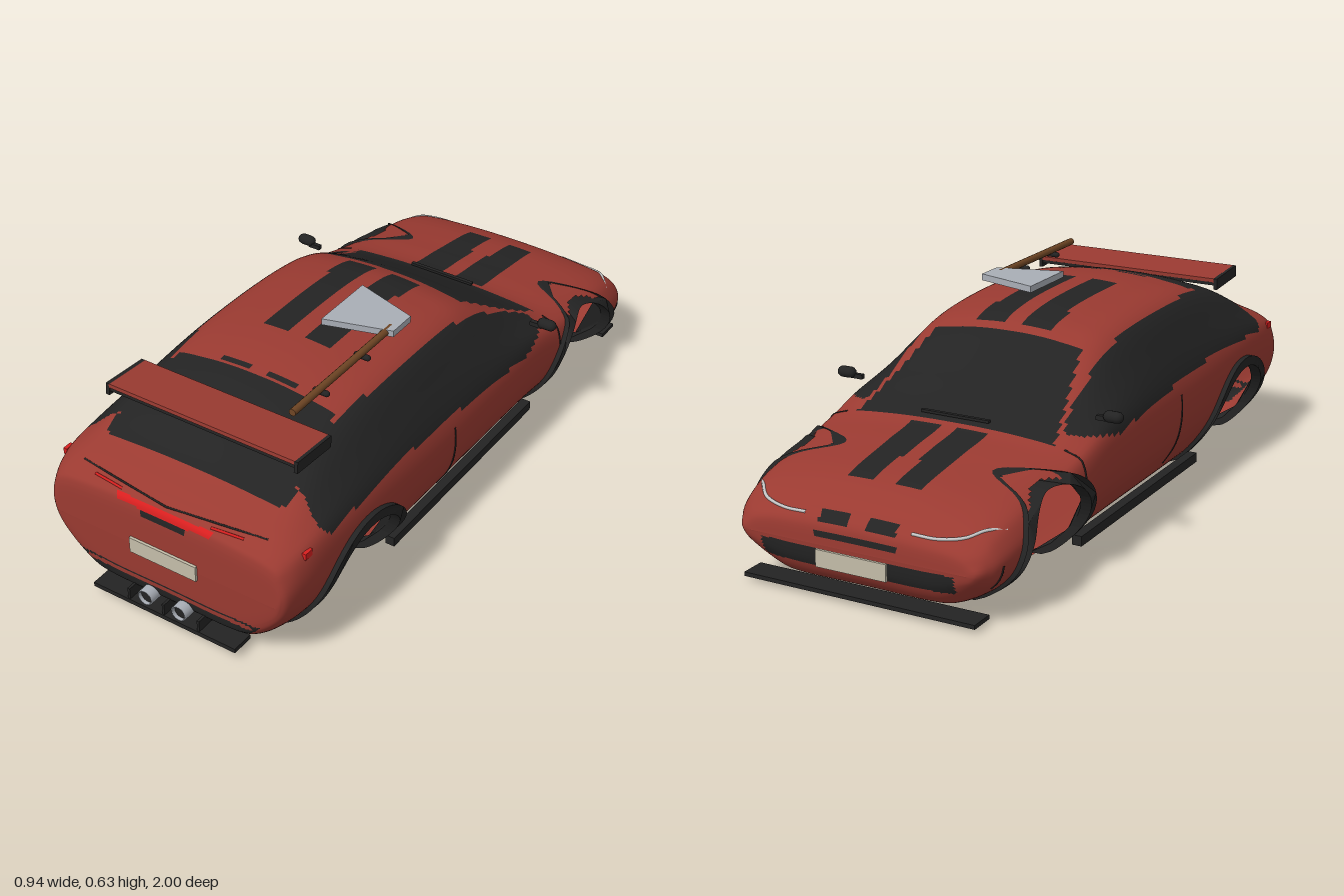
import * as THREE from 'three';

const mat = (name, color, side = THREE.FrontSide) => {
  const m = new THREE.MeshStandardMaterial({ color, side });
  m.name = name;
  return m;
};

export function createModel() {
  const car = new THREE.Group();
  car.name = 'car';
  const paint = mat('red paint', 0x9a3a31, THREE.DoubleSide);
  const black = mat('black trim', 0x232323, THREE.DoubleSide);
  const lamp = mat('tail lamp red', 0xd81f1f, THREE.DoubleSide);
  const silver = mat('silver metal', 0xa9aeb6);
  const white = mat('headlamp white', 0xc8c8c8);
  const cream = mat('plate cream', 0xc4bda9);
  const wood = mat('brown wood', 0x6e4524);

  const add = (name, geo, material, x = 0, y = 0, z = 0) => {
    const m = new THREE.Mesh(geo, material);
    m.name = name;
    m.position.set(x, y, z);
    car.add(m);
    return m;
  };
  const box = (name, w, h, d, material, x, y, z) => add(name, new THREE.BoxGeometry(w, h, d), material, x, y, z);
  const wire = (name, pts, r, material) => add(name, new THREE.TubeGeometry(
    new THREE.CatmullRomCurve3(pts.map((p) => new THREE.Vector3(...p))), 24, r, 6), material);

  // Body stations, nose to tail: z, bottom, top, half width, shoulder y, shoulder x, roof edge x, roof edge y
  const stations = [
    [-0.978, 0.155, 0.155, 0.34, 0.155, 0.33, 0.28, 0.155],
    [-0.972, 0.1, 0.21, 0.365, 0.18, 0.345, 0.29, 0.2],
    [-0.945, 0.055, 0.243, 0.385, 0.2, 0.37, 0.31, 0.225],
    [-0.9, 0.03, 0.275, 0.405, 0.225, 0.385, 0.33, 0.255],
    [-0.8, 0.012, 0.31, 0.418, 0.255, 0.395, 0.34, 0.285],
    [-0.62, 0.006, 0.338, 0.423, 0.285, 0.4, 0.34, 0.315],
    [-0.47, 0.005, 0.363, 0.423, 0.32, 0.405, 0.33, 0.345],
    [-0.32, 0.005, 0.447, 0.423, 0.355, 0.408, 0.3, 0.42],
    [-0.14, 0.005, 0.556, 0.423, 0.365, 0.41, 0.275, 0.52],
    [0, 0.005, 0.59, 0.423, 0.368, 0.41, 0.28, 0.548],
    [0.22, 0.005, 0.599, 0.423, 0.37, 0.41, 0.285, 0.557],
    [0.45, 0.005, 0.59, 0.423, 0.38, 0.41, 0.285, 0.55],
    [0.66, 0.006, 0.545, 0.423, 0.385, 0.41, 0.29, 0.512],
    [0.82, 0.012, 0.455, 0.42, 0.38, 0.405, 0.315, 0.437],
    [0.9, 0.03, 0.415, 0.412, 0.365, 0.395, 0.33, 0.4],
    [0.948, 0.06, 0.388, 0.4, 0.335, 0.385, 0.34, 0.368],
    [0.966, 0.1, 0.352, 0.385, 0.31, 0.37, 0.33, 0.335],
    [0.97, 0.23, 0.23, 0.37, 0.23, 0.36, 0.32, 0.23],
  ];
  const spline = (a, b, c, d, t) =>
    0.5 * (2 * b + (c - a) * t + (2 * a - 5 * b + 4 * c - d) * t * t + (3 * b - a - 3 * c + d) * t * t * t);
  const HALF = 84;
  const section = ([z, b, top, w, sh, sx, gx, gy]) => {
    const h = sh - b, k = w / 0.423;
    const pts = [[0, b], [0.22 * k, b], [0.275 * k, b + 0.04 * h], [0.355 * k, b + 0.25 * h], [0.408 * k, b + 0.5 * h],
      [w, b + 0.78 * h], [sx, sh], [(sx + gx) / 2 + 0.012, (sh + gy) / 2], [gx, gy],
      [gx * 0.6, top - (top - gy) * 0.3], [gx * 0.25, top - (top - gy) * 0.04], [0, top]];
    return new THREE.CatmullRomCurve3(pts.map(([x, y]) => new THREE.Vector3(x, y, z))).getSpacedPoints(HALF);
  };
  const rows = [];
  for (let i = 0; i < stations.length - 1; i++) {
    const [a, b, c, d] = [i - 1, i, i + 1, i + 2].map((n) => stations[THREE.MathUtils.clamp(n, 0, stations.length - 1)]);
    const n = Math.ceil((c[0] - b[0] + Math.abs(c[2] - b[2]) + Math.abs(c[1] - b[1])) / 0.011);
    for (let s = 0; s < n; s++) rows.push(section(b.map((_, k) => spline(a[k], b[k], c[k], d[k], s / n))));
  }
  rows.push(section(stations[stations.length - 1]));

  // Surface lookups: flank x at (z, y) and upper y at (x, z)
  const lookup = (z, pick) => {
    let i = rows.findIndex((r) => r[0].z >= z);
    i = i < 0 ? rows.length - 1 : Math.max(i, 1);
    const z0 = rows[i - 1][0].z, z1 = rows[i][0].z;
    const t = THREE.MathUtils.clamp((z - z0) / (z1 - z0 || 1), 0, 1);
    return pick(rows[i - 1]) * (1 - t) + pick(rows[i]) * t;
  };
  const sideX = (z, y) => lookup(z, (r) => {
    const j = Math.max(r.findIndex((p) => p.y >= y && p.x > 0.2), 1);
    const t = THREE.MathUtils.clamp((y - r[j - 1].y) / (r[j].y - r[j - 1].y || 1), 0, 1);
    return r[j - 1].x + (r[j].x - r[j - 1].x) * t;
  });
  const topY = (x, z) => lookup(z, (r) => {
    let j = HALF;
    while (j > 1 && r[j].x < Math.abs(x)) j--;
    return r[j].y;
  });

  // Colour and opening rules for the body faces
  const wheelZ = [-0.625, 0.615], wheelY = 0.11;
  const sideGlass = [[0.8, 0.4], [0.75, 0.49], [0.66, 0.532], [0.46, 0.552], [0.03, 0.548], [-0.14, 0.51],
    [-0.32, 0.42], [-0.42, 0.365], [-0.26, 0.335], [0.03, 0.36], [0.46, 0.388], [0.78, 0.372]];
  const inside = (poly, u, v) => poly.reduce((hit, [u1, v1], i) => {
    const [u2, v2] = poly[(i + 1) % poly.length];
    return (v1 > v) !== (v2 > v) && u < u1 + (u2 - u1) * (v - v1) / (v2 - v1) ? !hit : hit;
  }, false);
  const between = (v, a, b) => v > a && v < b;
  const faceKind = (x, y, z) => {
    if (x > 0.25 && wheelZ.some((c) => (y > wheelY ? Math.hypot(z - c, y - wheelY) : Math.abs(z - c)) < 0.197)) return -1;
    if (x > 0.2 && inside(sideGlass, z, y)) return 1;
    if (y > 0.3 && between(z, -0.47, -0.15) && x < 0.32 - (z + 0.47) * 0.25) return 1;
    if (y > 0.44 && between(z, 0.53, 0.83) && x < 0.26 + (z - 0.53) * 0.17) return 1;
    const stripe = between(x, 0.03, 0.12);
    if (stripe && y > 0.25 && (between(z, -0.83, -0.49) || between(z, -0.12, 0.34) || between(z, 0.505, 0.525))) return 1;
    if (stripe && y > 0.215 && between(z, -0.968, -0.94)) return 1;
    if (z < -0.9 && ((x < 0.3 && between(y, 0.09, 0.145)) || (x < 0.13 && between(y, 0.178, 0.196)))) return 1;
    if (z > 0.88) {
      if (x < 0.16 && between(y, 0.362, 0.382)) return 2;
      if (x < 0.075 && between(y, 0.338, 0.362)) return 1;
      if (between(y, 0.055, 0.125) && x < 0.31 - (0.125 - y) * 0.9 && !(between(y, 0.103, 0.118) && x < 0.28)) return 1;
    }
    return 0;
  };

  // Body shell
  const ring = HALF * 2, pos = [], faces = [[], [], []];
  for (const r of rows) {
    for (let j = 0; j < ring; j++) {
      const p = j <= HALF ? r[j] : r[ring - j];
      pos.push(j <= HALF ? p.x : -p.x, p.y, p.z);
    }
  }
  for (let i = 0; i < rows.length - 1; i++) {
    for (let j = 0; j < ring; j++) {
      const k = (j + 1) % ring;
      const a = i * ring + j, b = i * ring + k, c = b + ring, d = a + ring;
      const mid = (n) => (pos[a * 3 + n] + pos[b * 3 + n] + pos[c * 3 + n] + pos[d * 3 + n]) / 4;
      const kind = faceKind(Math.abs(mid(0)), mid(1), mid(2));
      if (kind >= 0) faces[kind].push(a, b, c, a, c, d);
    }
  }
  const shell = new THREE.BufferGeometry();
  shell.setAttribute('position', new THREE.Float32BufferAttribute(pos, 3));
  shell.setIndex(faces.flat());
  let start = 0;
  faces.forEach((f, i) => { shell.addGroup(start, f.length, i); start += f.length; });
  shell.computeVertexNormals();
  add('body', shell, [paint, black, lamp]);

  // Wheel arch rims that follow the flanks
  const archPath = (r, foot) => {
    const pts = [];
    for (let i = 0; i < 8; i++) pts.push([foot + (r - foot) * i / 8, -0.1 + 0.1 * i / 8]);
    for (let i = 0; i <= 40; i++) pts.push([r * Math.cos(Math.PI * i / 40), r * Math.sin(Math.PI * i / 40)]);
    for (let i = 7; i >= 0; i--) pts.push([-pts[i][0], pts[i][1]]);
    return pts.map((p) => new THREE.Vector2(...p));
  };
  for (const c of wheelZ) for (const s of [1, -1]) {
    const shape = new THREE.Shape([...archPath(0.215, 0.205), ...archPath(0.185, 0.176).reverse()]);
    const g = new THREE.ExtrudeGeometry(shape, { depth: 0.034, bevelEnabled: false });
    g.rotateY(Math.PI / 2).translate(-0.018, wheelY, c);
    const p = g.attributes.position;
    for (let i = 0; i < p.count; i++) p.setX(i, s * (p.getX(i) + sideX(p.getZ(i), p.getY(i))));
    g.computeVertexNormals();
    add('wheelArchRim', g, black);
  }

  // Parts on both sides: sills, mirrors, seams, lamps
  for (const s of [1, -1]) {
    box('sill', 0.03, 0.03, 0.79, black, s * 0.355, 0.048, 0);
    const mirror = add('mirror', new THREE.CapsuleGeometry(0.017, 0.026, 4, 12), black, s * 0.438, 0.411, -0.342);
    mirror.rotation.z = Math.PI / 2;
    box('mirrorArm', 0.04, 0.014, 0.014, black, s * 0.405, 0.402, -0.338);
    const seam = (z, y0, y1) => wire('doorSeam', [0, 1, 2, 3, 4].map((i) => {
      const y = y0 + (y1 - y0) * i / 4;
      return [s * sideX(z, y), y, z];
    }), 0.003, black);
    seam(0.155, 0.105, 0.33);
    seam(-0.47, 0.26, 0.34);
    seam(-0.9, 0.1, 0.17);
    wire('headlampLine', [[0.165, -0.955], [0.24, -0.95], [0.31, -0.93], [0.35, -0.89], [0.385, -0.845]]
      .map(([x, z]) => [s * x, topY(x, z) + 0.001, z]), 0.005, white);
    box('sideTailLamp', 0.012, 0.02, 0.03, lamp, s * sideX(0.87, 0.365), 0.365, 0.87);
    wire('tailLampTip', [[0.15, 0.945], [0.2, 0.94], [0.25, 0.935]].map(([x, z]) => [s * x, topY(x, z), z]), 0.004, lamp);
    wire('tailgateLine', [[0, 0.945], [0.16, 0.93], [0.31, 0.91]].map(([x, z]) => [s * x, topY(x, z), z]), 0.003, black);
    // Twin exhausts
    const pipe = new THREE.LatheGeometry([[0.019, 0], [0.025, 0], [0.025, 0.07], [0.02, 0.07], [0.019, 0.01]]
      .map((p) => new THREE.Vector2(...p)), 24).rotateX(Math.PI / 2);
    add('exhaust', pipe, silver, s * 0.058, 0.075, 0.925);
    add('exhaustBore', new THREE.CircleGeometry(0.02, 24), black, s * 0.058, 0.075, 0.985);
  }

  // Rear wing
  const wing = new THREE.Group();
  wing.name = 'rearWing';
  const wingPart = (w, h, d, m, x, y) => {
    const part = new THREE.Mesh(new THREE.BoxGeometry(w, h, d), m);
    part.name = 'wingPart';
    part.position.set(x, y, 0);
    wing.add(part);
  };
  wingPart(0.62, 0.012, 0.155, paint, 0, 0.008);
  wingPart(0.62, 0.01, 0.15, black, 0, -0.004);
  for (const s of [1, -1]) wingPart(0.012, 0.036, 0.155, black, s * 0.314, -0.004);
  wing.position.set(0, 0.555, 0.71);
  wing.rotation.x = -0.07;
  car.add(wing);

  // Splitter, diffuser, plates, wiper, inner box
  box('frontSplitter', 0.725, 0.012, 0.075, black, 0, 0.02, -0.94);
  box('diffuser', 0.49, 0.014, 0.07, black, 0, 0.032, 0.957);
  for (const x of [-0.12, 0, 0.12]) box('diffuserFin', 0.008, 0.05, 0.065, black, x, 0.05, 0.957);
  box('rearPlate', 0.225, 0.05, 0.008, cream, 0, 0.23, 0.974);
  box('frontPlate', 0.22, 0.05, 0.008, cream, 0, 0.126, -0.996);
  box('wiper', 0.22, 0.008, 0.012, black, 0, 0.378, -0.455);
  box('engineBox', 0.3, 0.045, 0.1, black, 0, 0.25, -0.735);

  // Axe on the roof
  const head = new THREE.Shape([[0.04, -0.06], [0.04, -0.27], [0.243, -0.21], [0.243, -0.12]]
    .map((p) => new THREE.Vector2(...p)).reverse());
  add('axeHead', new THREE.ExtrudeGeometry(head, { depth: 0.02, bevelEnabled: false }).rotateX(-Math.PI / 2), silver, 0, 0.608, 0);
  add('axeHandle', new THREE.CylinderGeometry(0.011, 0.011, 0.48, 12).rotateX(Math.PI / 2), wood, 0.218, 0.618, 0.425);
  for (const z of [0.33, 0.53]) {
    const clip = add('axeClip', new THREE.CapsuleGeometry(0.009, 0.036, 4, 10), black, 0.218, 0.604, z);
    clip.rotation.z = Math.PI / 2;
  }
  return car;
}
